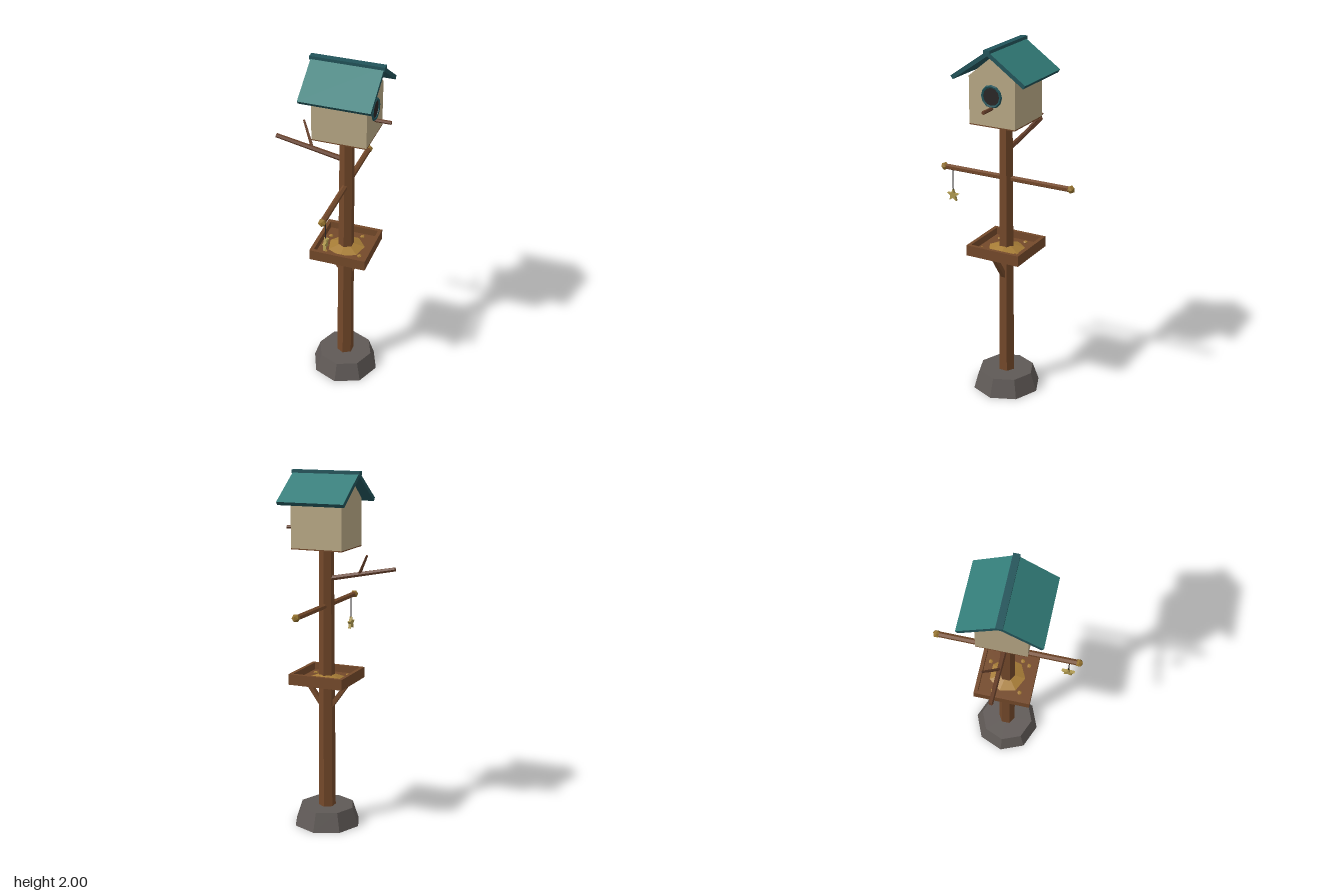
import * as THREE from 'three';

const mat = (name, color) => {
  const m = new THREE.MeshStandardMaterial({ color, flatShading: true });
  m.name = name;
  return m;
};

export function createModel() {
  const wood = mat('wood', 0x74492a);
  const bark = mat('dark wood', 0x68402a);
  const stone = mat('stone', 0x5f5956);
  const cream = mat('cream wall', 0xb8a885);
  const teal = mat('roof teal', 0x327d79);
  const trim = mat('dark teal trim', 0x22545a);
  const black = mat('hole and string', 0x2a2626);
  const brass = mat('brass', 0x94722f);
  const gold = mat('star gold', 0xb09a50);
  const seed = mat('seed', 0xa67c36);

  const model = new THREE.Group();
  model.name = 'birdhousePost';
  const root = new THREE.Group();
  root.name = 'post';
  root.position.x = 0.08; // the post stands beside the centre
  model.add(root);

  const add = (name, geo, material, x = 0, y = 0, z = 0) => {
    const mesh = new THREE.Mesh(geo, material);
    mesh.name = name;
    mesh.position.set(x, y, z);
    root.add(mesh);
    return mesh;
  };
  const box = (name, w, h, d, material, x, y, z) =>
    add(name, new THREE.BoxGeometry(w, h, d), material, x, y, z);
  // Tapered rod between two points
  const rod = (name, a, b, ra, rb, sides, material) => {
    const p = new THREE.Vector3(...a), q = new THREE.Vector3(...b);
    const dir = q.clone().sub(p);
    const mesh = add(name, new THREE.CylinderGeometry(rb, ra, dir.length(), sides), material);
    mesh.position.copy(p).add(q).multiplyScalar(0.5);
    mesh.quaternion.setFromUnitVectors(new THREE.Vector3(0, 1, 0), dir.normalize());
    return mesh;
  };

  // Stone foot and hexagonal pole
  add('stoneBase', new THREE.CylinderGeometry(0.157, 0.193, 0.105, 8), stone, 0, 0.0525, 0);
  add('pole', new THREE.CylinderGeometry(0.04, 0.049, 1.53, 6), wood, 0, 0.825, 0);

  // Feeding tray with rim, braces and seed
  box('trayFloor', 0.32, 0.02, 0.32, wood, 0, 0.845, 0);
  for (const s of [-1, 1]) {
    box('traySide', 0.02, 0.04, 0.32, wood, s * 0.15, 0.875, 0);
    box('trayEnd', 0.28, 0.04, 0.02, wood, 0, 0.875, s * 0.15);
    const brace = box('trayBrace', 0.024, 0.175, 0.026, wood, s * 0.08, 0.768, 0);
    brace.rotation.z = -s * 0.62;
  }
  add('seedPile', new THREE.ConeGeometry(0.105, 0.035, 7), seed, 0, 0.872, 0);
  for (const [x, z] of [[0.1, 0.07], [-0.09, 0.09], [0.06, -0.11], [-0.11, -0.06], [0.08, 0.11]]) {
    const grain = add('looseSeed', new THREE.IcosahedronGeometry(0.014, 0), seed, x, 0.858, z);
    grain.scale.y = 0.6;
  }

  // Crossbar with brass knobs
  rod('crossbar', [0, 1.265, -0.385], [0, 1.265, 0.385], 0.016, 0.016, 6, wood);
  for (const s of [-1, 1])
    add('crossbarKnob', new THREE.IcosahedronGeometry(0.023, 0), brass, 0, 1.265, s * 0.388);

  // Hanging star
  rod('starString', [0, 1.135, 0.338], [0, 1.255, 0.338], 0.003, 0.003, 5, black);
  const starShape = new THREE.Shape();
  for (let i = 0; i < 10; i++) {
    const r = i % 2 ? 0.016 : 0.038, a = Math.PI / 2 + (i * Math.PI) / 5;
    starShape[i ? 'lineTo' : 'moveTo'](r * Math.cos(a), r * Math.sin(a));
  }
  const starGeo = new THREE.ExtrudeGeometry(starShape, { depth: 0.016, bevelEnabled: false });
  starGeo.translate(0, 0, -0.008).rotateY(Math.PI / 2);
  add('star', starGeo, gold, 0, 1.102, 0.338);

  // Side branch and twig
  rod('branch', [-0.01, 1.415, 0], [-0.4, 1.49, 0], 0.015, 0.012, 6, bark);
  rod('twig', [-0.195, 1.455, 0], [-0.27, 1.567, -0.078], 0.009, 0.006, 5, bark);

  // House body, a gabled prism running along x
  const gable = new THREE.Shape();
  gable.moveTo(-0.135, 1.59);
  gable.lineTo(0.135, 1.59);
  gable.lineTo(0.135, 1.845);
  gable.lineTo(0, 1.955);
  gable.lineTo(-0.135, 1.845);
  const house = new THREE.ExtrudeGeometry(gable, { depth: 0.298, bevelEnabled: false });
  house.translate(0, 0, -0.149).rotateY(Math.PI / 2);
  add('houseBody', house, cream);
  box('houseFloor', 0.298, 0.006, 0.27, wood, 0, 1.587, 0);

  // Entrance hole, ring and perch on the +x gable
  const hole = add('entranceHole', new THREE.CircleGeometry(0.054, 12), black, 0.152, 1.75, 0);
  hole.rotation.y = Math.PI / 2;
  const ring = add('entranceRing', new THREE.TorusGeometry(0.054, 0.008, 5, 12), trim, 0.151, 1.75, 0);
  ring.rotation.y = Math.PI / 2;
  rod('perch', [0.14, 1.686, 0], [0.238, 1.686, 0], 0.01, 0.01, 6, bark);

  // Roof slabs: light on the upper face, dark edges and underside
  const pitch = 0.61, length = 0.266, thick = 0.022;
  for (const s of [-1, 1]) {
    const geo = new THREE.BoxGeometry(0.386, thick, length);
    geo.translate(0, -thick / 2, s * length / 2);
    const slab = add('roofSlab', geo, [trim, trim, teal, trim, trim, trim], 0, 1.996, 0);
    slab.rotation.x = s * pitch;
  }
  box('ridgeCap', 0.4, 0.02, 0.036, trim, 0, 1.99, 0);

  return model;
}
